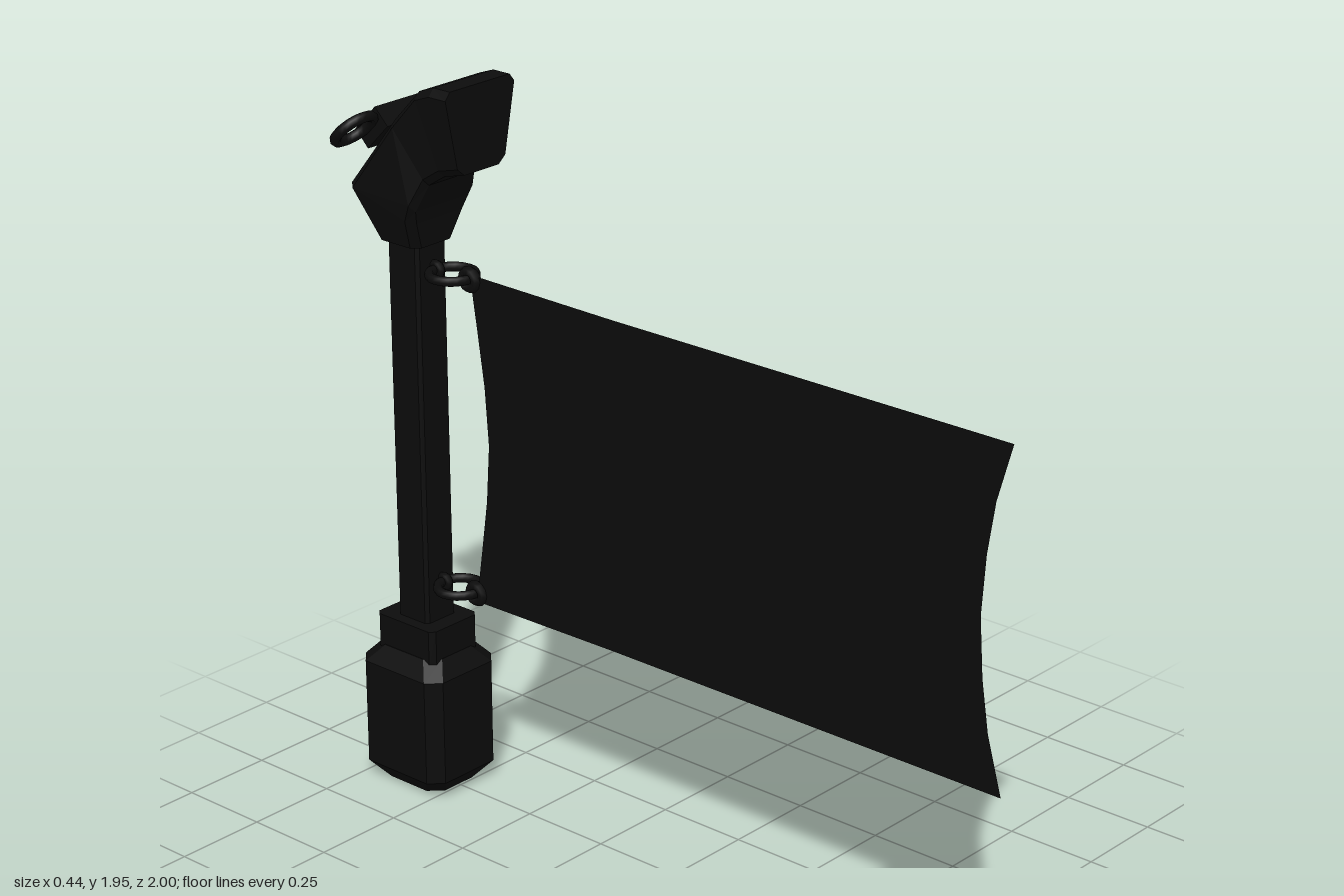
import * as THREE from 'three';

const black = new THREE.MeshStandardMaterial({ color: 0x0c0c0c });
black.name = 'matte black';
const clothBlack = new THREE.MeshStandardMaterial({ color: 0x0c0c0c, side: THREE.DoubleSide });
clothBlack.name = 'cloth black';

const POLE_Z = -0.858;

function add(parent, name, geometry, material = black) {
  const mesh = new THREE.Mesh(geometry, material);
  mesh.name = name;
  parent.add(mesh);
  return mesh;
}

// Loft of chamfered four-sided sections; each is { u: [z, y, halfWidth], l: [z, y, halfWidth] }
// with u the back/upper edge and l the front/lower edge, listed from top to bottom.
function loft(sections, c) {
  const pos = [], idx = [], n = 8;
  for (const { u, l } of sections) {
    const t = c / Math.hypot(u[0] - l[0], u[1] - l[1]);
    const put = (side, s, inset) => {
      const half = u[2] + (l[2] - u[2]) * s - inset;
      pos.push(side * half, u[1] + (l[1] - u[1]) * s, u[0] + (l[0] - u[0]) * s);
    };
    put(1, 0, c); put(1, t, 0); put(1, 1 - t, 0); put(1, 1, c);
    put(-1, 1, c); put(-1, 1 - t, 0); put(-1, t, 0); put(-1, 0, c);
  }
  for (let s = 0; s < sections.length - 1; s++) {
    for (let i = 0; i < n; i++) {
      const a = s * n + i, b = s * n + (i + 1) % n;
      idx.push(a, b, b + n, a, b + n, a + n);
    }
  }
  const e = (sections.length - 1) * n;
  for (let i = 1; i < n - 1; i++) idx.push(0, i + 1, i, e, e + i, e + i + 1);
  const g = new THREE.BufferGeometry();
  g.setAttribute('position', new THREE.Float32BufferAttribute(pos, 3));
  g.setIndex(idx);
  const flat = g.toNonIndexed();
  flat.computeVertexNormals();
  return flat;
}

// Upright column from [y, halfX, halfZ] levels, top to bottom
const column = (levels, c) => loft(levels.map(([y, hx, hz]) =>
  ({ u: [POLE_Z - hz, y, hx], l: [POLE_Z + hz, y, hx] })), c);

export function createModel() {
  const model = new THREE.Group();
  model.name = 'bannerPole';

  // Weighted foot, collar and square pole
  add(model, 'foot', column([
    [0.385, 0.088, 0.104], [0.34, 0.125, 0.142], [0.05, 0.125, 0.142], [0, 0.085, 0.1],
  ], 0.035));
  add(model, 'collar', column([[0.468, 0.086, 0.103], [0.36, 0.086, 0.103]], 0.014));
  add(model, 'pole', column([[1.52, 0.053, 0.054], [0.42, 0.053, 0.054]], 0.009));

  // Bent head: wide nose facing front, tapering down onto the pole
  add(model, 'head', loft([
    { u: [-0.625, 1.947, 0.124], l: [-0.625, 1.727, 0.08] },
    { u: [-0.68, 1.947, 0.124], l: [-0.69, 1.711, 0.084] },
    { u: [-0.727, 1.93, 0.125], l: [-0.738, 1.68, 0.09] },
    { u: [-0.81, 1.845, 0.125], l: [-0.765, 1.61, 0.112] },
    { u: [-0.973, 1.647, 0.125], l: [-0.775, 1.575, 0.1] },
    { u: [-0.93, 1.5, 0.07], l: [-0.79, 1.5, 0.07] },
  ], 0.02));

  // Clamp plate on the sloping back, with a ring on each side
  const clamp = new THREE.Group();
  clamp.name = 'ringClamp';
  clamp.position.set(0, 1.808, -0.91);
  clamp.rotation.x = -Math.PI / 4;
  model.add(clamp);
  add(clamp, 'clampPlate', new THREE.BoxGeometry(0.2, 0.06, 0.1)).position.y = -0.01;
  for (const side of [1, -1]) {
    const ring = add(clamp, side > 0 ? 'leftRing' : 'rightRing',
      new THREE.TorusGeometry(0.054, 0.014, 8, 24));
    ring.rotation.x = Math.PI / 2;
    ring.position.x = side * 0.152;
  }

  // Hanging rings that tie the cloth to the pole
  for (const [name, y] of [['upper', 1.432], ['lower', 0.578]]) {
    const tie = new THREE.Group();
    tie.name = name + 'Tie';
    tie.position.y = y;
    model.add(tie);
    const ring = add(tie, 'tieRing', new THREE.TorusGeometry(0.058, 0.013, 8, 20));
    ring.rotation.x = Math.PI / 2;
    ring.position.z = -0.735;
    const eyelet = add(tie, 'clothEyelet', new THREE.TorusGeometry(0.022, 0.014, 6, 12));
    eyelet.rotation.y = Math.PI / 2;
    eyelet.position.z = -0.675;
    const hook = add(tie, 'poleHook', new THREE.TorusGeometry(0.016, 0.01, 6, 12));
    hook.rotation.y = Math.PI / 2;
    hook.position.z = -0.79;
  }

  // Cloth with both short edges pulled inward
  const front = [[1, 1.44], [0.957, 1.29], [0.936, 1.155], [0.925, 1],
    [0.936, 0.845], [0.957, 0.71], [1, 0.56]];
  const back = [[-0.2, 0.56], [-0.674, 0.555], [-0.652, 0.7], [-0.631, 0.845], [-0.62, 1],
    [-0.631, 1.155], [-0.652, 1.3], [-0.674, 1.445], [-0.2, 1.44]];
  const outline = [...front, ...back].map(([z, y]) => new THREE.Vector2(-z, y));
  add(model, 'cloth', new THREE.ShapeGeometry(new THREE.Shape(outline)), clothBlack)
    .rotation.y = Math.PI / 2;

  return model;
}
